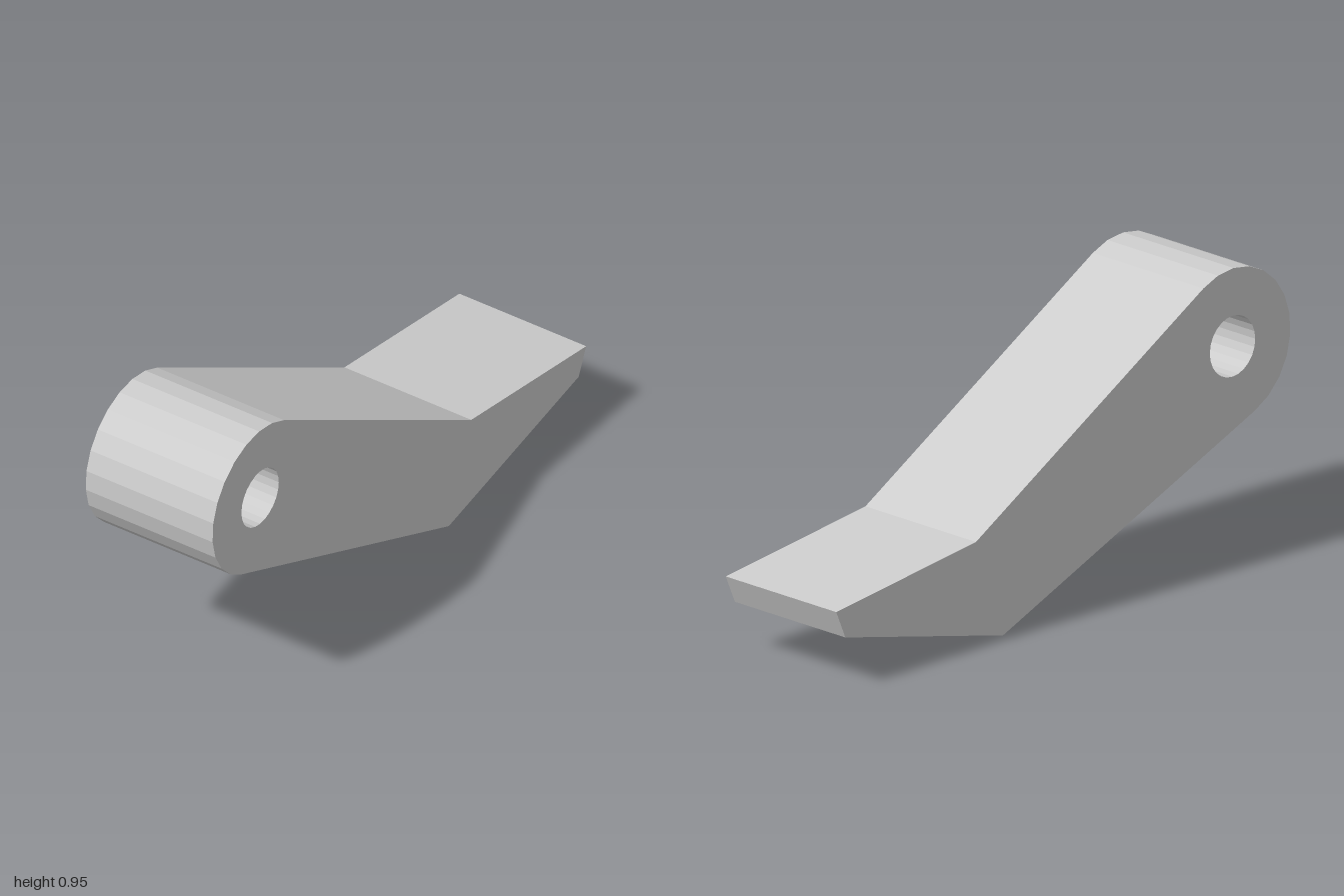
import * as THREE from 'three';

// Points along an arc, angles in degrees
function arcPoints(cx, cy, r, from, to, segments) {
  return Array.from({ length: segments + 1 }, (_, i) => {
    const a = THREE.MathUtils.degToRad(from + ((to - from) * i) / segments);
    return new THREE.Vector2(cx + r * Math.cos(a), cy + r * Math.sin(a));
  });
}

export function createModel() {
  const group = new THREE.Group();
  group.name = 'pivotLever';

  const pivot = [-0.745, 0.7];
  const depth = 0.482;

  // Lever outline: rounded pivot end, straight arm, bent tapering tip
  const outline = new THREE.Shape([
    ...arcPoints(...pivot, 0.255, 59.8, 247.4, 12),
    new THREE.Vector2(0.265, 0),
    new THREE.Vector2(0.96, 0.163),
    new THREE.Vector2(1, 0.256),
    new THREE.Vector2(0.385, 0.335),
  ]);

  // Pin hole through the pivot end
  outline.holes.push(new THREE.Path(arcPoints(...pivot, 0.1, 360, 0, 24)));

  const geometry = new THREE.ExtrudeGeometry(outline, { depth, bevelEnabled: false });
  geometry.translate(0, 0, -depth / 2);

  const lever = new THREE.Mesh(
    geometry,
    new THREE.MeshStandardMaterial({ color: 0xcccccc, flatShading: true })
  );
  lever.name = 'leverArm';
  group.add(lever);
  return group;
}
